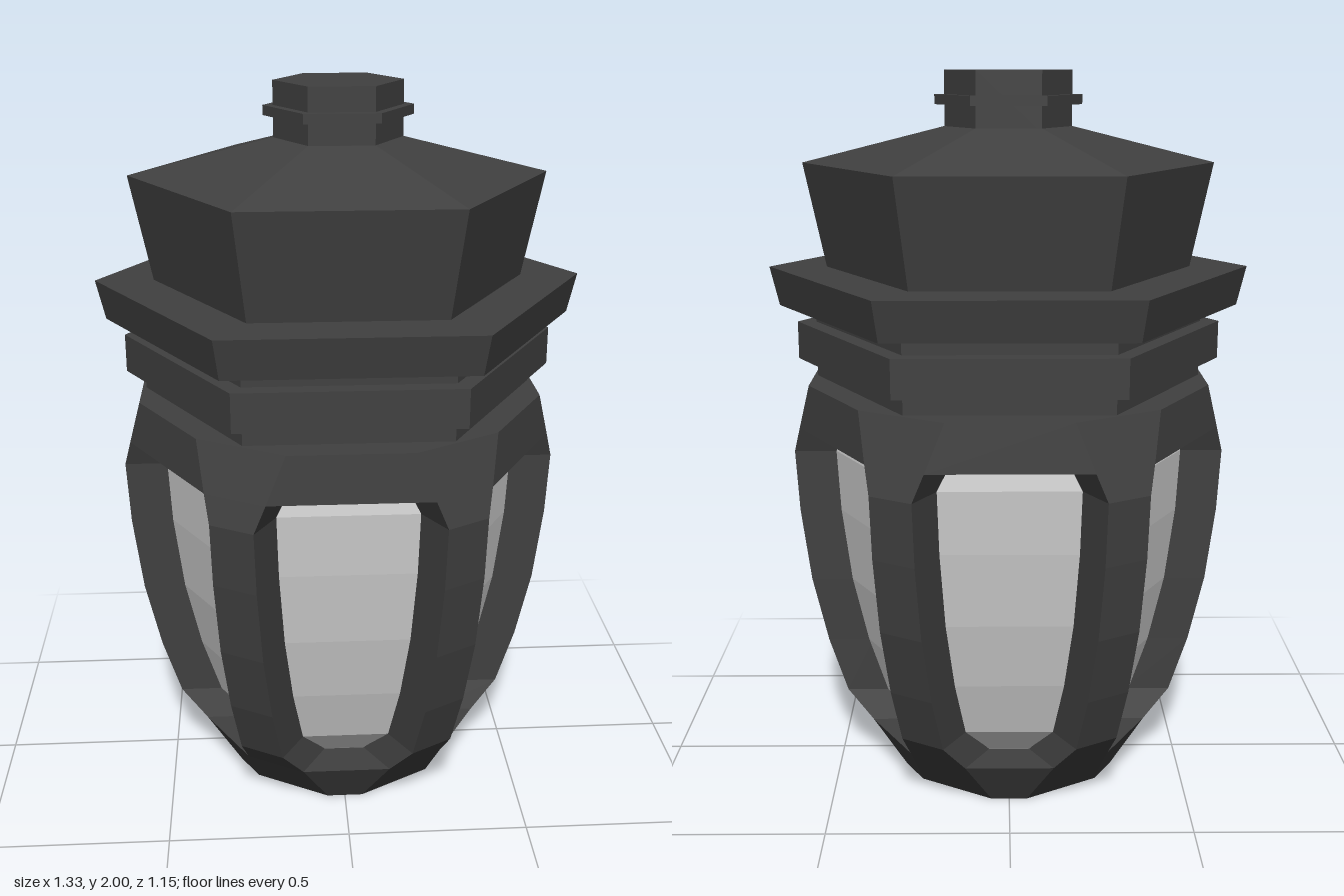
import * as THREE from 'three';

const HEX = Math.PI / 3;
const metal = new THREE.MeshStandardMaterial({ color: 0x404040, flatShading: true });
const glass = new THREE.MeshStandardMaterial({ color: 0xcccccc, flatShading: true });

// Cage levels from bottom to top: [height, distance of rib face, half width of rib]
const LEVELS = [
  [0, 0.3, 0.115], [0.135, 0.4, 0.09], [0.22, 0.475, 0.066], [0.38, 0.527, 0.065], [0.57, 0.57, 0.065],
  [0.78, 0.596, 0.065], [0.955, 0.605, 0.065], [1.03, 0.585, 0.09], [1.16, 0.55, 0.13],
];
const RIB_DEPTH = 0.13;

// Six-sided solid turned from a [radius, height] profile, corners on the x axis
function hexPart(name, profile, material = metal) {
  const points = profile.map(([r, y]) => new THREE.Vector2(r, y));
  const mesh = new THREE.Mesh(new THREE.LatheGeometry(points, 6, Math.PI / 2), material);
  mesh.name = name;
  return mesh;
}

// Corner of rib i at a level; side is +1 or -1, inset moves it towards the axis
function corner(i, level, side, inset = 0) {
  const [y, r, w] = LEVELS[level];
  const a = i * HEX, d = r - inset;
  return [d * Math.cos(a) - side * w * Math.sin(a), y, d * Math.sin(a) + side * w * Math.cos(a)];
}

function quadMesh(name, quads) {
  const positions = quads.flatMap(([a, b, c, d]) => [a, b, c, a, c, d].flat());
  const geometry = new THREE.BufferGeometry();
  geometry.setAttribute('position', new THREE.Float32BufferAttribute(positions, 3));
  geometry.computeVertexNormals();
  const mesh = new THREE.Mesh(geometry, metal);
  mesh.name = name;
  return mesh;
}

// Curved rib: outer face and two side walls
function rib(i) {
  const quads = [];
  for (let k = 0; k < LEVELS.length - 1; k++) {
    const p = (level, side, inset) => corner(i, level, side, inset);
    const D = RIB_DEPTH;
    quads.push(
      [p(k, 1), p(k, -1), p(k + 1, -1), p(k + 1, 1)],
      [p(k, 1, D), p(k, 1), p(k + 1, 1), p(k + 1, 1, D)],
      [p(k, -1), p(k, -1, D), p(k + 1, -1, D), p(k + 1, -1)],
    );
  }
  return quadMesh('rib', quads);
}

// Rail between two ribs, with a lip on the side of the window
function rail(name, i, low, lipLevel) {
  const left = (k, inset) => corner(i + 1, k, -1, inset);
  const right = (k, inset) => corner(i, k, 1, inset);
  const lip = [left(lipLevel), right(lipLevel), right(lipLevel, RIB_DEPTH), left(lipLevel, RIB_DEPTH)];
  if (lipLevel === low) lip.reverse();
  return quadMesh(name, [[left(low), right(low), right(low + 1), left(low + 1)], lip]);
}

// Twelve-sided plate closing the cage at a level, optionally with a round hole
function plate(name, level, top, depth, hole = 0) {
  const outline = [];
  for (let i = 0; i < 6; i++) {
    for (const side of [-1, 1]) {
      const [x, , z] = corner(i, level, side);
      outline.push(new THREE.Vector2(x, z));
    }
  }
  const shape = new THREE.Shape(outline);
  if (hole) shape.holes.push(new THREE.Path().absarc(0, 0, hole, 0, Math.PI * 2, true));
  const geometry = new THREE.ExtrudeGeometry(shape, { depth, bevelEnabled: false, curveSegments: 6 });
  const mesh = new THREE.Mesh(geometry.rotateX(Math.PI / 2), metal);
  mesh.position.y = top;
  mesh.name = name;
  return mesh;
}

export function createModel() {
  const model = new THREE.Group();
  model.name = 'lantern';

  // Cage of ribs and rails
  const cage = new THREE.Group();
  cage.name = 'cage';
  for (let i = 0; i < 6; i++) {
    cage.add(rib(i), rail('bottomRail', i, 0, 1), rail('topRail', i, 7, 7));
  }
  cage.add(plate('cageTop', 8, 1.16, 0.02), plate('base', 0, 0.04, 0.04, 0.165));
  const recess = new THREE.Mesh(new THREE.CircleGeometry(0.17, 12).rotateX(Math.PI / 2), metal);
  recess.position.y = 0.038;
  recess.name = 'baseRecess';
  cage.add(recess);
  model.add(cage);

  // Glass panes follow the ribs, set back from their faces
  const panes = LEVELS.slice(1, -1).map(([y, r]) => [r - 0.08, y]);
  panes.unshift([0.27, 0.07]);
  panes.push([0.49, 1.1]);
  model.add(hexPart('glassPanes', panes, glass));

  // Neck, band, flange, roof and finial
  model.add(
    hexPart('neck', [[0, 1.15], [0.54, 1.15], [0.54, 1.37], [0, 1.37]]),
    hexPart('band', [[0.5, 1.21], [0.592, 1.21], [0.592, 1.315], [0.5, 1.315]]),
    hexPart('flange', [[0, 1.362], [0.64, 1.362], [0.665, 1.47], [0, 1.47]]),
    hexPart('roof', [[0.505, 1.46], [0.505, 1.47], [0.563, 1.755], [0.175, 1.852], [0, 1.852]]),
    hexPart('finial', [[0.173, 1.84], [0.173, 2], [0, 2]]),
    hexPart('finialRing', [[0.15, 1.91], [0.2, 1.91], [0.2, 1.936], [0.15, 1.936]]),
  );
  return model;
}
